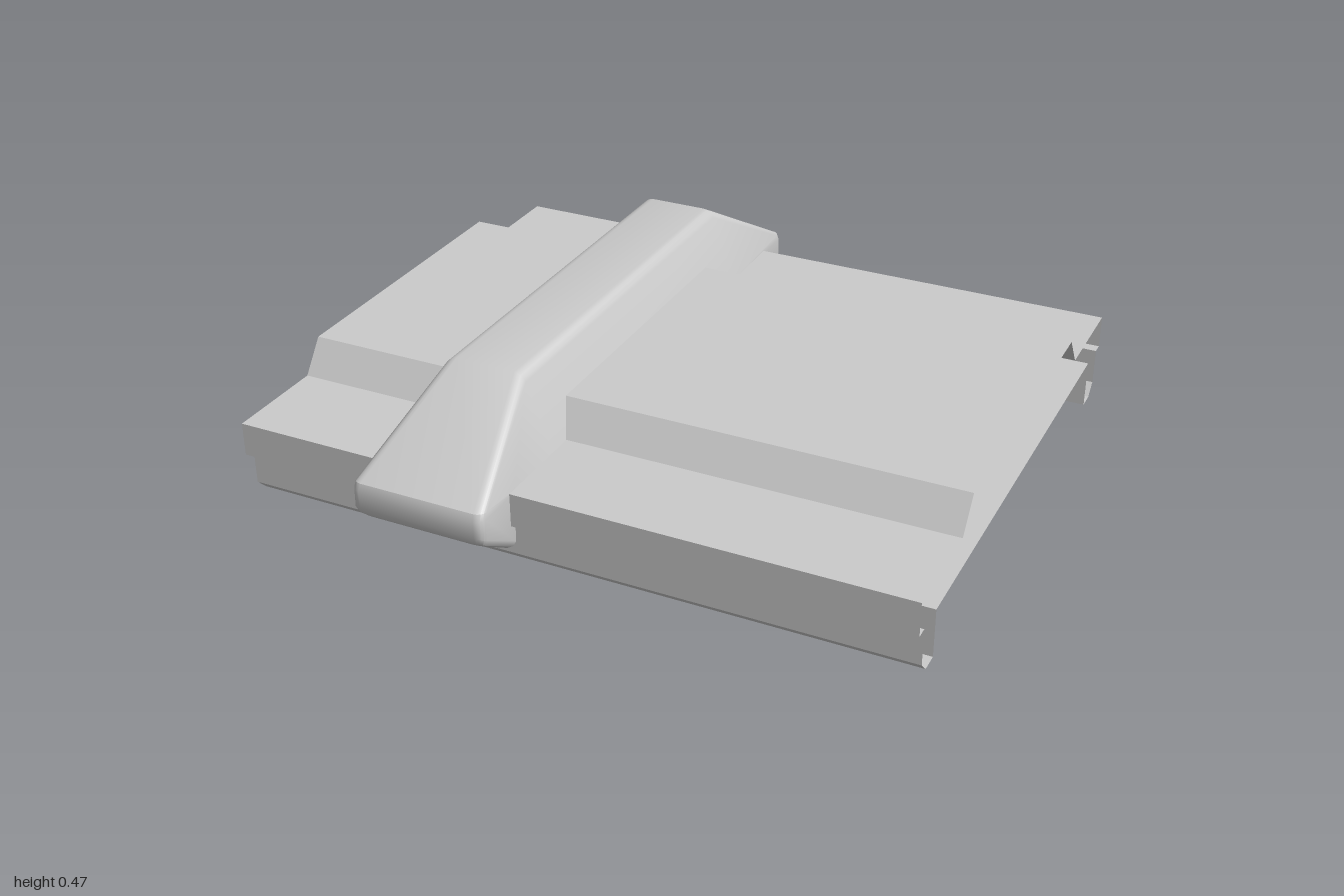
import * as THREE from 'three';
import { toCreasedNormals } from 'three/addons/utils/BufferGeometryUtils.js';

// Skins a list of equal-length rings of [x, y, z] points; optional end caps.
function loft(rings, capped) {
  const n = rings[0].length, last = rings.length - 1, index = [];
  for (let i = 0; i < last; i++) {
    for (let j = 0; j < n; j++) {
      const k = (j + 1) % n;
      const a = i * n + j, b = i * n + k, c = b + n, d = a + n;
      index.push(a, d, c, a, c, b);
    }
  }
  if (capped) {
    for (let j = 1; j < n - 1; j++) {
      index.push(0, j, j + 1, last * n, last * n + j + 1, last * n + j);
    }
  }
  const geometry = new THREE.BufferGeometry();
  geometry.setAttribute('position', new THREE.Float32BufferAttribute(rings.flat(2), 3));
  geometry.setIndex(index);
  return toCreasedNormals(geometry, 0.6);
}

// Hollow panel: raised top, side flanges, edge channels and a flat bottom plate.
function createPanel(material) {
  const half = [
    [0.455, 0.34], [0.525, 0.245], [0.835, 0.245], [0.835, 0.145], [0.8, 0.145],
    [0.8, 0.035], [0.765, 0], [0.71, 0], [0.71, 0.145],
  ];
  const profile = [...half, ...half.map(([z, y]) => [-z, y]).reverse()];
  const rings = [-1, 1].map((x) => profile.map(([z, y]) => [x, y, z]));
  const mesh = new THREE.Mesh(loft(rings, false), material);
  mesh.name = 'hollowPanel';
  return mesh;
}

// Clamp: tapered bar across the panel with a hook at each end.
function createClamp(material) {
  const radius = 0.025, steps = 4;
  const halfWidth = (y) => 0.2 - 0.085 * Math.max(0, (y - 0.25) / 0.22);

  // Each station: outer [z, y], inner [z, y], width inset.
  const stations = [
    [[0.962, 0.152], [0.82, 0.06], 0.025],
    [[0.974, 0.165], [0.815, 0.068], 0.008],
    [[0.98, 0.185], [0.813, 0.085], 0],
    [[0.98, 0.235], [0.81, 0.235], 0],
    [[0.972, 0.255], [0.81, 0.245], 0],
    [[0.6, 0.47], [0.6, 0.245], 0],
  ];
  const mirrored = stations.map(([o, i, s]) => [[-o[0], o[1]], [-i[0], i[1]], s]).reverse();

  const rings = [...stations, ...mirrored].map(([outer, inner, inset]) => {
    const length = Math.hypot(inner[0] - outer[0], inner[1] - outer[1]);
    const wo = halfWidth(outer[1]) - inset, wi = halfWidth(inner[1]) - inset;
    const side = [[wi, inner[1], inner[0]]];
    for (let s = 0; s <= steps; s++) {
      const angle = (s / steps) * Math.PI / 2;
      const t = radius * (1 - Math.sin(angle)) / length;
      side.push([
        wo + (wi - wo) * t - radius * (1 - Math.cos(angle)),
        outer[1] + (inner[1] - outer[1]) * t,
        outer[0] + (inner[0] - outer[0]) * t,
      ]);
    }
    return [...side, ...side.map(([x, y, z]) => [-x, y, z]).reverse()];
  });

  const mesh = new THREE.Mesh(loft(rings, true), material);
  mesh.name = 'clampBar';
  mesh.position.x = -0.34;
  return mesh;
}

export function createModel() {
  const group = new THREE.Group();
  group.name = 'panelWithClamp';
  const sheet = new THREE.MeshStandardMaterial({ color: 0xcccccc, side: THREE.DoubleSide });
  const solid = new THREE.MeshStandardMaterial({ color: 0xcccccc });
  group.add(createPanel(sheet), createClamp(solid));
  return group;
}
